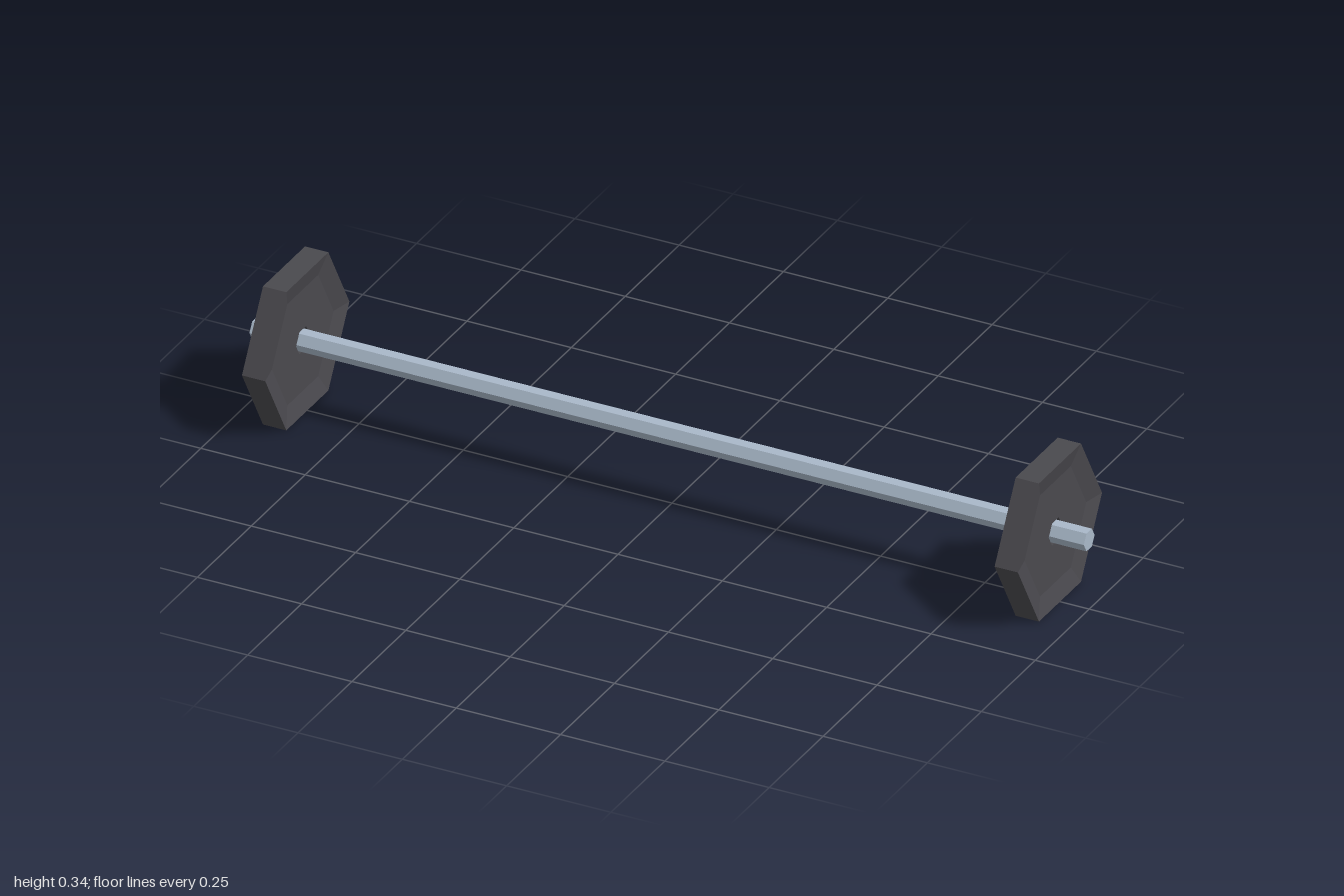
import * as THREE from 'three';

const AXIS_Y = 0.169; // height of the bar's centre line

export function createModel() {
  const steel = new THREE.MeshStandardMaterial({ color: 0xa9b8c9, flatShading: true });
  steel.name = 'steel';
  const iron = new THREE.MeshStandardMaterial({ color: 0x4a494e, flatShading: true });
  iron.name = 'darkIron';

  const group = new THREE.Group();
  group.name = 'barbell';

  // Hexagonal bar along x, with corners pointing forward and back
  const barGeometry = new THREE.CylinderGeometry(0.025, 0.025, 2, 6).rotateZ(-Math.PI / 2);
  const bar = new THREE.Mesh(barGeometry, steel);
  bar.name = 'bar';
  bar.position.y = AXIS_Y;
  group.add(bar);

  // Hexagonal plate, dished on both faces, with an open centre hole
  const half = 0.028, dish = 0.017;
  const rim = 0.195, inner = 0.143, hole = 0.031;
  const profile = [
    [hole, -dish], [inner, -dish], [rim, -half],
    [rim, half], [inner, dish], [hole, dish], [hole, -dish],
  ].map(([r, y]) => new THREE.Vector2(r, y));
  const plateGeometry = new THREE.LatheGeometry(profile, 6).rotateZ(-Math.PI / 2);

  for (const [name, side] of [['leftPlate', 1], ['rightPlate', -1]]) {
    const plate = new THREE.Mesh(plateGeometry, iron);
    plate.name = name;
    plate.position.set(side * 0.902, AXIS_Y, 0);
    group.add(plate);
  }
  return group;
}
